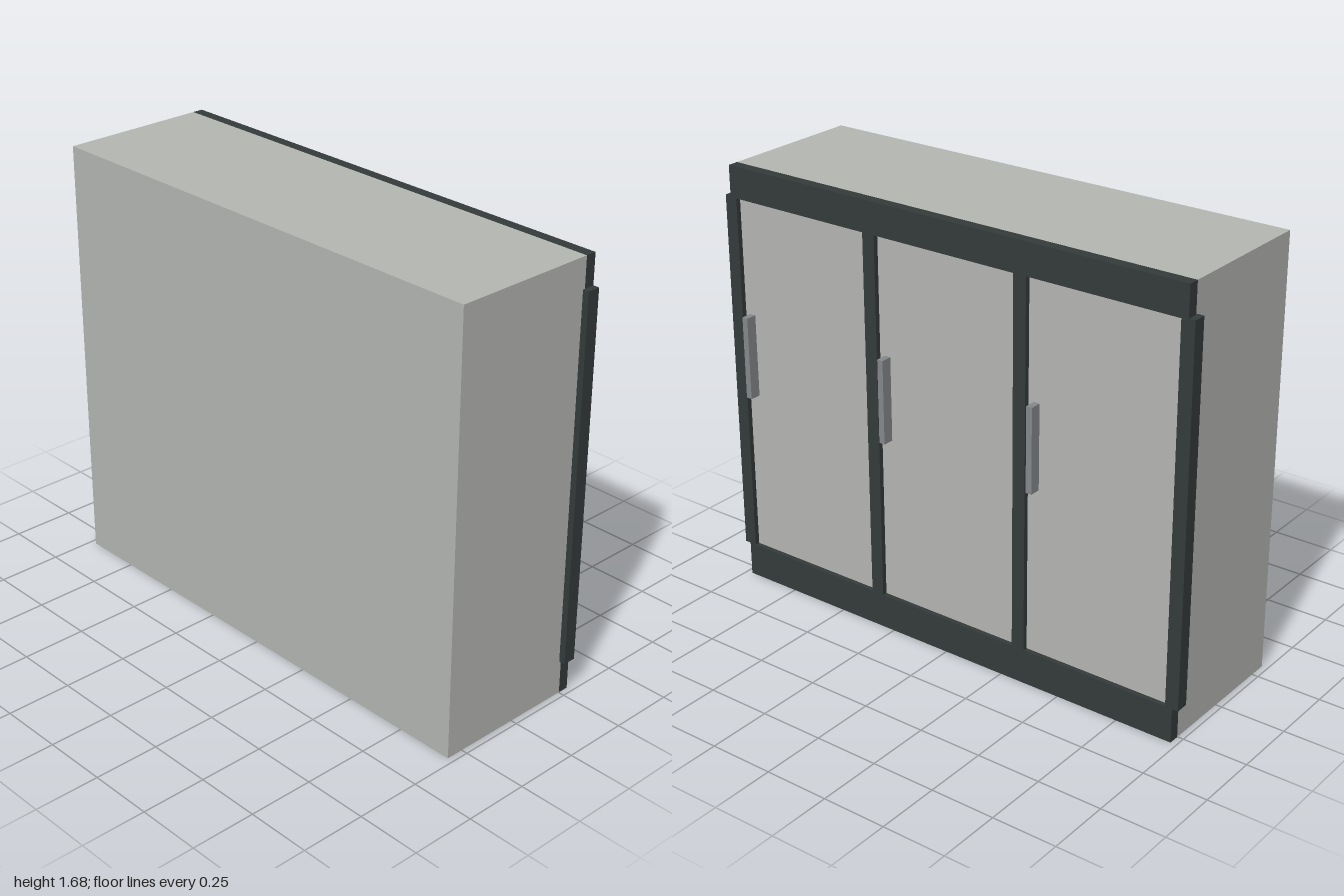
import * as THREE from 'three';

export function createModel() {
  const model = new THREE.Group();
  const mat = (name, color) => {
    const m = new THREE.MeshStandardMaterial({ color });
    m.name = name;
    return m;
  };
  const panelGrey = mat('panel grey', 0xb4b6b2);
  const frameDark = mat('frame charcoal', 0x343a3a);
  const handleGrey = mat('handle grey', 0x85888b);

  // box given by its limits on each axis
  const box = (name, material, [x0, x1], [y0, y1], [z0, z1]) => {
    const mesh = new THREE.Mesh(new THREE.BoxGeometry(x1 - x0, y1 - y0, z1 - z0), material);
    mesh.position.set((x0 + x1) / 2, (y0 + y1) / 2, (z0 + z1) / 2);
    mesh.name = name;
    model.add(mesh);
  };

  const back = -0.294, seam = -0.252, height = 1.676;

  // cabinet body
  box('cabinetBody', panelGrey, [-0.976, 0.976], [0, height], [seam, 0.318]);

  // frame rails
  box('bottomRail', frameDark, [-0.976, 0.976], [0, 0.135], [back, seam]);
  box('topRail', frameDark, [-0.976, 0.976], [1.555, height], [back, seam]);

  // outer stiles, wrapping slightly round the body sides
  for (const s of [-1, 1]) {
    const inner = s * 0.948, outer = s;
    box('sideStile', frameDark, [Math.min(inner, outer), Math.max(inner, outer)], [0.135, 1.56], [back, -0.243]);
  }

  // dividers between doors
  for (const x of [-0.325, 0.325]) {
    box('divider', frameDark, [x - 0.026, x + 0.026], [0.135, 1.555], [back, seam]);
  }

  // recessed doors with bar handles
  for (const x of [-0.65, 0, 0.65]) {
    box('doorPanel', panelGrey, [x - 0.299, x + 0.299], [0.135, 1.555], [-0.275, seam]);
    box('doorHandle', handleGrey, [x + 0.253, x + 0.277], [0.78, 1.105], [-0.318, -0.275]);
  }

  return model;
}
